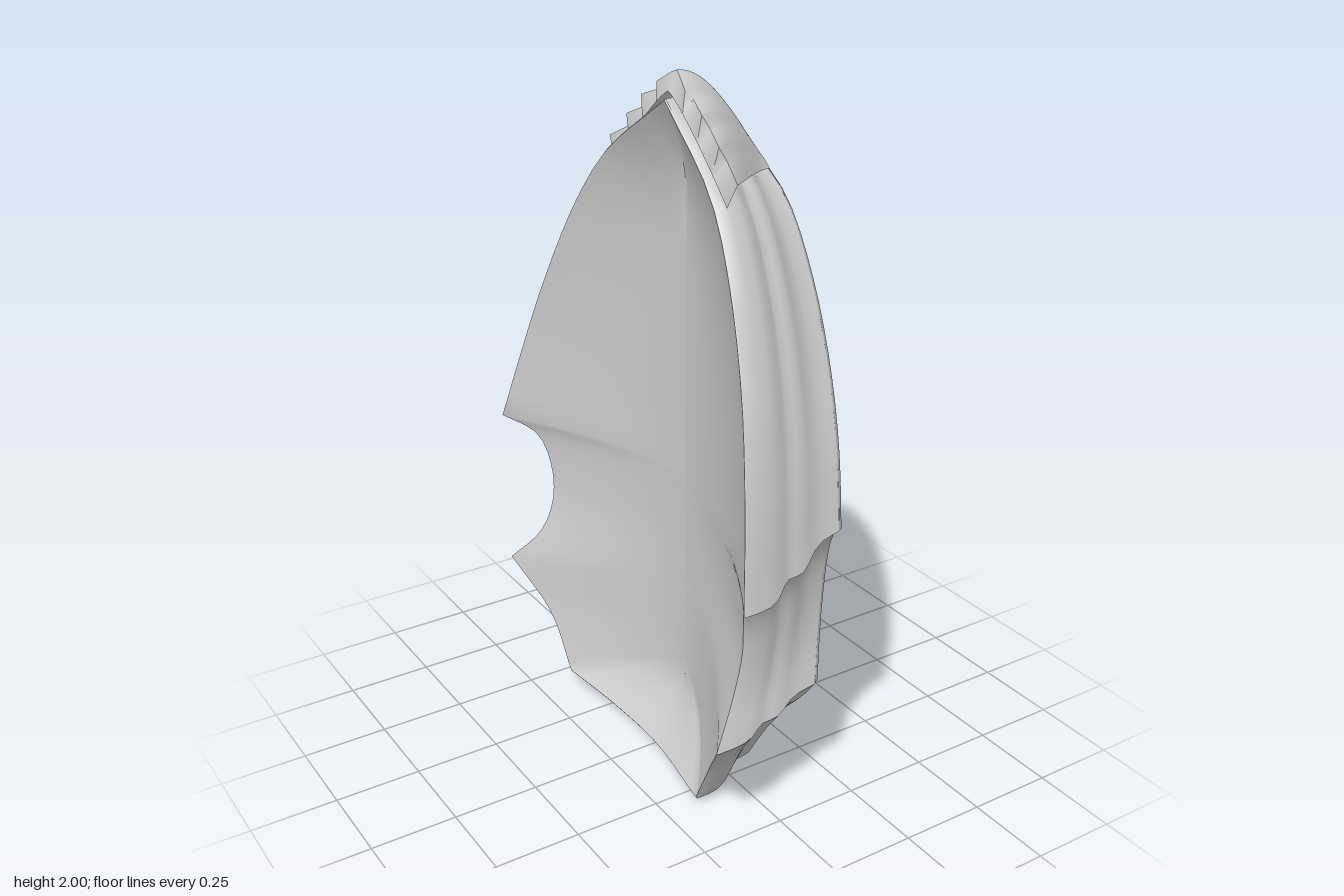
import * as THREE from 'three';
import { toCreasedNormals } from 'three/addons/utils/BufferGeometryUtils.js';

const V = (x, y, z) => new THREE.Vector3(x, y, z);
const material = new THREE.MeshStandardMaterial({ color: 0xcccccc, side: THREE.DoubleSide });
const STEPS = 16;

// Edges between sharp corners, as [z, y, back rim x]; counterclockwise seen from +x
const outerEdges = [
  [[0.04, 1.93, -0.08], [0.27, 1.74, -0.095], [0.39, 1.57, -0.12], [0.51, 1.32, -0.16], [0.59, 1.05, -0.2], [0.635, 0.79, -0.23]],
  [[0.635, 0.79, -0.23], [0.55, 0.755, -0.17], [0.513, 0.68, -0.145], [0.503, 0.58, -0.14], [0.512, 0.46, -0.175], [0.545, 0.34, -0.245]],
  [[0.545, 0.34, -0.245], [0.41, 0.19, -0.175], [0.31, 0.015, -0.155]],
  [[0.31, 0.015, -0.155], [0, 0, -0.1], [-0.2, 0.02, -0.115], [-0.4, 0.055, -0.16]],
  [[-0.4, 0.055, -0.16], [-0.48, 0.23, -0.18], [-0.6, 0.4, -0.25]],
  [[-0.6, 0.4, -0.25], [-0.53, 0.5, -0.18], [-0.508, 0.61, -0.145], [-0.515, 0.73, -0.145], [-0.55, 0.82, -0.17], [-0.635, 0.865, -0.24]],
  [[-0.635, 0.865, -0.24], [-0.58, 1.07, -0.2], [-0.49, 1.32, -0.16], [-0.37, 1.57, -0.12], [-0.24, 1.74, -0.095], [0.04, 1.93, -0.08]],
];
// Matching outline of the raised panel, as [z, y]
const panelEdges = [
  [[0.05, 1.77], [0.19, 1.68], [0.31, 1.52], [0.425, 1.32], [0.52, 1.11], [0.578, 0.91]],
  [[0.578, 0.91], [0.52, 0.87], [0.475, 0.79], [0.46, 0.66], [0.47, 0.53], [0.5, 0.41]],
  [[0.5, 0.41], [0.41, 0.31], [0.31, 0.21]],
  [[0.31, 0.21], [0, 0.215], [-0.2, 0.225], [-0.37, 0.25]],
  [[-0.37, 0.25], [-0.44, 0.36], [-0.545, 0.46]],
  [[-0.545, 0.46], [-0.505, 0.55], [-0.485, 0.66], [-0.485, 0.79], [-0.52, 0.9], [-0.57, 0.94]],
  [[-0.57, 0.94], [-0.5, 1.13], [-0.395, 1.34], [-0.27, 1.53], [-0.13, 1.68], [0.05, 1.77]],
];

// Domed front of the plate
const dome = (y, z) => 0.25 - 0.1 * (y - 1) ** 2 - 0.45 * z * z;

function outline(edges) {
  return edges.flatMap((edge) =>
    new THREE.CatmullRomCurve3(edge.map(([z, y, x]) => V(x ?? dome(y, z), y, z)))
      .getSpacedPoints(STEPS).slice(0, -1));
}

// Skin over rows of points, optionally joined end to start
function loft(name, rows, closed, crease) {
  const n = rows[0].length, index = [];
  for (let i = 0; i < rows.length - 1; i++) {
    for (let j = 0; j < (closed ? n : n - 1); j++) {
      const k = (j + 1) % n, a = i * n + j, b = i * n + k;
      index.push(a, b, b + n, a, b + n, a + n);
    }
  }
  const geometry = new THREE.BufferGeometry().setFromPoints(rows.flat());
  geometry.setIndex(index);
  const mesh = new THREE.Mesh(toCreasedNormals(geometry, crease), material);
  mesh.name = name;
  return mesh;
}

// Pleated fan draped over the top, its scalloped edge tucked in behind
function crest() {
  const rows = [], across = 64, along = 14;
  for (let i = 0; i <= along + 1; i++) {
    const v = Math.min(i / along, 1), tuck = i > along ? 1 : 0, row = [];
    const ridge = 1.775 + 0.225 * Math.sin(v * Math.PI / 2);
    const edge = 1.735 + 0.03 * v;
    const width = 0.075 + 0.225 * v ** 1.3;
    for (let j = 0; j <= across; j++) {
      const u = (j / across) * 2 - 1, a = Math.abs(u);
      const fold = a === 1 ? 1 : (a * 4) % 1;
      const pleat = a < 0.25 ? 0 : 0.03 * (fold - 0.5) * v * v * (1 - tuck);
      row.push(V(
        0.185 - 0.235 * v - (0.02 * fold * v ** 3) * (1 - tuck) - 0.025 * tuck,
        ridge - (ridge - edge) * a ** (1.8 - 0.6 * v) + pleat - 0.05 * tuck,
        0.05 + u * width * (1 - 0.12 * tuck)));
    }
    rows.push(row);
  }
  return loft('crest', rows, false, 0.8);
}

export function createModel() {
  const group = new THREE.Group();
  group.name = 'armourPlate';
  const outer = outline(outerEdges), panel = outline(panelEdges);

  // Stepped side wall: [depth from back to front, inset from outer outline to panel]
  const profile = [[0, 0.03], [0.015, 0], [0.15, 0], [0.25, 0.03], [0.33, 0.12], [0.41, 0.33],
    [0.46, 0.42], [0.53, 0.43], [0.6, 0.46], [0.67, 0.6], [0.75, 0.8], [0.84, 0.92], [0.93, 0.97], [1, 1]];
  group.add(loft('sideWall', profile.map(([d, s]) => outer.map((p, j) => {
    const q = panel[j];
    return V(p.x + (q.x - p.x) * d, p.y + (q.y - p.y) * s, p.z + (q.z - p.z) * s);
  })), true, 0.7));

  // Front panel with a softly raised lip
  const panelRows = [[1, 0], [0.985, 0.01], [0.965, 0.01], [0.945, 0.002], [0.92, 0],
    [0.8, 0], [0.65, 0], [0.5, 0], [0.35, 0], [0.2, 0], [0, 0]];
  group.add(loft('frontPanel', panelRows.map(([t, lift]) => panel.map((p) => {
    const y = 0.9 + (p.y - 0.9) * t, z = p.z * t;
    return V(dome(y, z) + lift, y, z);
  })), true, 0.9));

  // Hollow back, sweeping from an upright spine out to the rim
  const backRows = [0, 0.15, 0.3, 0.45, 0.6, 0.75, 0.88, 0.96, 1];
  group.add(loft('hollowBack', backRows.map((t) => outer.map((p, j) => {
    const q = panel[j], y = p.y + (q.y - p.y) * 0.03, z = p.z + (q.z - p.z) * 0.03;
    const spine = 0.82 + (y - 0.82) * 0.75;
    return V(0.01 + (p.x - 0.01) * t ** 1.7, spine + (y - spine) * t, z * t);
  })), true, 0.9));

  group.add(crest());
  return group;
}
